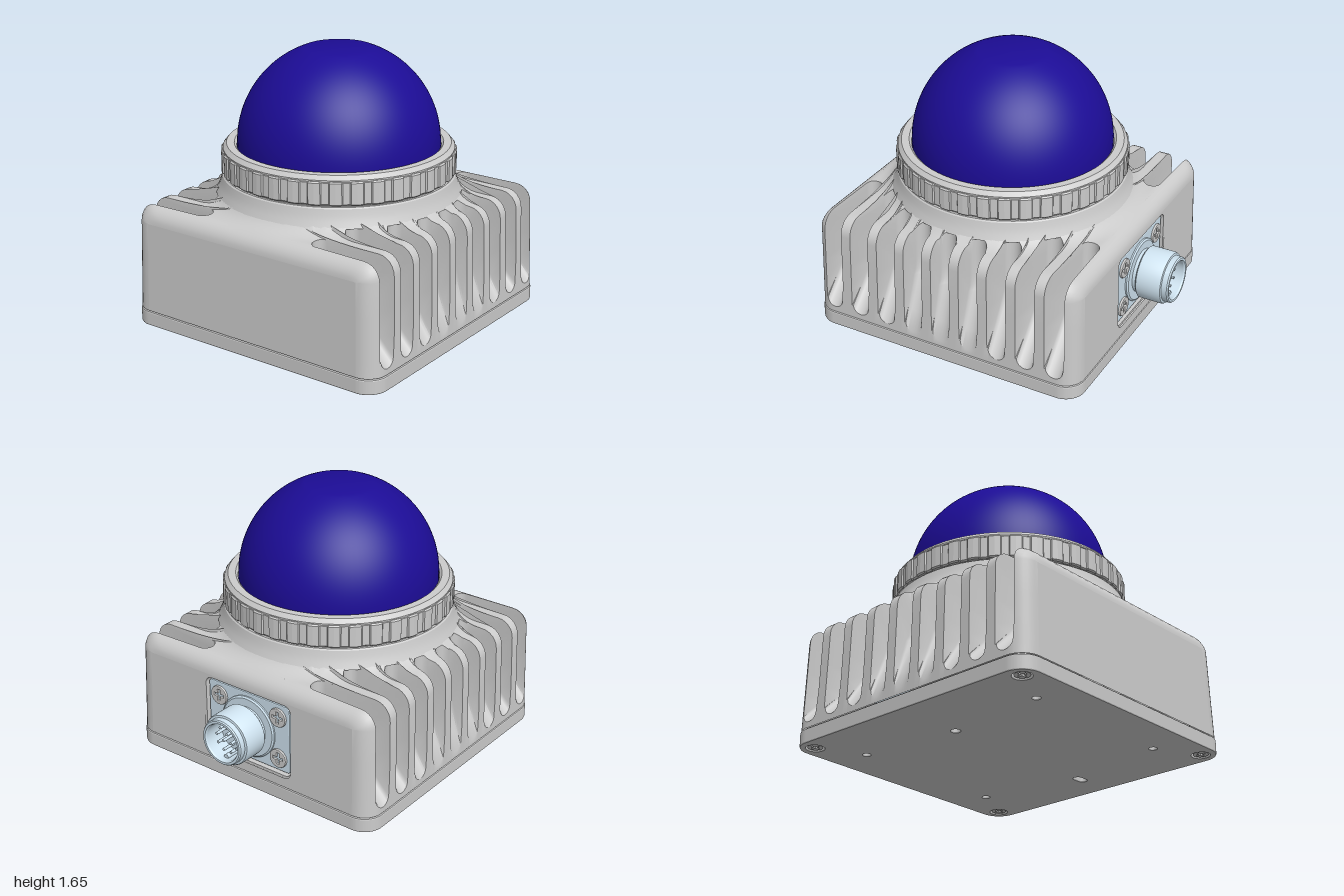
import * as THREE from 'three';
import { toCreasedNormals } from 'three/addons/utils/BufferGeometryUtils.js';

const CX = -0.11;                       // axis of dome and housing
const HALF = 0.885, CORNER = 0.12;      // housing half width, vertical corner radius
const BASE = 0.645, SHOULDER = 0.105;   // start of the rounded shoulder, its radius
const Y0 = 0.095, TOPS = 26;

const mat = (color) => new THREE.MeshStandardMaterial({ color, side: THREE.DoubleSide });
const grey = mat(0xcccccc), blue = mat(0x1c0c96), steel = mat(0xcfe3f0);

function add(parent, name, geo, material, x = 0, y = 0, z = 0) {
  const m = new THREE.Mesh(geo, material);
  m.name = name;
  m.position.set(x, y, z);
  parent.add(m);
  return m;
}

const lathe = (pts, seg = 96) =>
  toCreasedNormals(new THREE.LatheGeometry(pts.map((p) => new THREE.Vector2(...p)), seg), 0.5);

function roundRect(w, h, r, cy = 0, Type = THREE.Shape) {
  const s = new Type();
  [[w - r, h - r, 0], [r - w, h - r, 1], [r - w, r - h, 2], [w - r, r - h, 3]].forEach(([x, y, q]) =>
    s.absarc(x, y + cy, r, q * Math.PI / 2, (q + 1) * Math.PI / 2, false));
  return s;
}
const circle = (x, y, r, Type = THREE.Path) => new Type().absarc(x, y, r, 0, Math.PI * 2, false);
const extrude = (shape, depth, bevel = 0) => new THREE.ExtrudeGeometry(shape, {
  depth: depth - 2 * bevel, bevelEnabled: bevel > 0, bevelSize: bevel, bevelThickness: bevel,
  bevelOffset: -bevel, bevelSegments: 2, curveSegments: 12,
}).translate(0, 0, bevel);

// Disc head with a cross recess, facing +z
function screwGeo(r, depth) {
  const s = circle(0, 0, r, THREE.Shape), a = r * 0.14, b = r * 0.6;
  s.holes.push(new THREE.Path([[a, a], [a, b], [-a, b], [-a, a], [-b, a], [-b, -a], [-a, -a], [-a, -b],
    [a, -b], [a, -a], [b, -a], [b, a]].map((p) => new THREE.Vector2(...p))));
  return extrude(s, depth, r * 0.1);
}

// ---- finned housing: yz profiles placed in columns along x ----
const draft = (y) => 1 - 0.015 * Math.min(1, Math.max(0, (y - Y0) / (BASE - Y0)));
const drop = (u, r) => {                // quarter-round falloff towards the side faces
  const d = Math.max(0, Math.abs(u) - (HALF - r));
  return r - Math.sqrt(Math.max(0, r * r - d * d));
};
const halfZ = (u) => HALF - drop(u, CORNER);
function topY(u, z) {                   // top deck plus the fillet up to the neck
  const F = 0.15, d = Math.min(F, Math.max(0.02, Math.hypot(u, z) - 0.70));
  return BASE + SHOULDER - drop(u, SHOULDER) + F - Math.sqrt(F * F - (F - d) ** 2);
}
function deck(u, zStart) {
  const p = [];
  for (let i = 1; i <= TOPS; i++) {
    const z = zStart * (1 - i / TOPS);
    p.push([z, topY(u, z)]);
  }
  return p;
}
function finProfile(u) {
  const hw = halfZ(u), zi = hw - SHOULDER, h = topY(u, zi) - BASE;
  const p = [Y0, 0.18, 0.3, 0.45, BASE].map((y) => [hw, y]);
  for (let k = 1; k <= 6; k++) {
    const a = k * Math.PI / 12;
    p.push([zi + SHOULDER * Math.cos(a), BASE + h * Math.sin(a)]);
  }
  return p.concat(deck(u, zi));
}
function slotProfile(u, centre, t) {
  const e = 0.05 * (1 - Math.sqrt(1 - t * t)), hw = halfZ(u);
  const end = Math.max(0.38, Math.sqrt(0.735 ** 2 - Math.min(centre ** 2, 0.5))) + e;
  const zf = Math.max(end + 0.03, 0.57 + e), y0 = 0.13 + e;
  const p = [[hw, Y0], [hw, y0]];
  for (const k of [0.35, 0.7, 1]) p.push([hw + (zf - hw) * k, y0 + (0.45 - y0) * k]);
  p.push([end + 0.025, 0.46], [end + 0.008, 0.49], [end, 0.56], [end, 0.64], [end, 0.7], [end, topY(u, end)]);
  return p.concat(deck(u, end));
}
function housingGeo() {
  const cols = [], corner = [];
  for (let k = 0; k <= 6; k++) {
    const a0 = 0.45, a = a0 + (Math.PI / 2 - a0) * k / 6;
    corner.push(HALF - CORNER + CORNER * Math.sin(a));
  }
  const fin = (u) => cols.push([u, finProfile(u)]);
  [...corner].reverse().forEach((u) => fin(-u));
  for (let i = -4; i <= 4; i++) {
    const c = i * 0.1875;
    fin(c - 0.062);
    for (const t of [-1, -0.92, -0.7, -0.35, 0, 0.35, 0.7, 0.92, 1]) {
      const u = c + t * 0.054;
      cols.push([u, slotProfile(u, c, t)]);
    }
    fin(c + 0.062);
    if (i < 4) fin(c + 0.09375);
  }
  corner.forEach(fin);

  const pos = [], idx = [];
  let n = 0;
  for (const [u, half] of cols) {
    const full = half.concat(half.slice(0, -1).reverse().map(([z, y]) => [-z, y]));
    n = full.length;
    for (const [z, y] of full) pos.push(CX + u * draft(y), y, z * draft(y));
  }
  for (let c = 0; c < cols.length - 1; c++) for (let i = 0; i < n - 1; i++) {
    const a = c * n + i, b = a + n;
    idx.push(a, b, b + 1, a, b + 1, a + 1);
  }
  const g = new THREE.BufferGeometry();
  g.setAttribute('position', new THREE.Float32BufferAttribute(pos, 3));
  g.setIndex(idx);
  return toCreasedNormals(g, 0.6);
}
// Flat side wall; the connector side has an opening
function sideWall(side) {
  const w = HALF - CORNER, s = new THREE.Shape([[-w, Y0], [w, Y0], [w, BASE], [-w, BASE]]
    .map((p) => new THREE.Vector2(...p)));
  if (side > 0) s.holes.push(roundRect(0.325, 0.24, 0.05, 0.395, THREE.Path));
  const g = new THREE.ShapeGeometry(s).rotateY(side * Math.PI / 2), p = g.attributes.position;
  for (let i = 0; i < p.count; i++) {
    const d = draft(p.getY(i));
    p.setXYZ(i, CX + side * HALF * d, p.getY(i), p.getZ(i) * d);
  }
  g.computeVertexNormals();
  return g;
}

function buildConnector() {
  const g = new THREE.Group();
  g.name = 'connector';
  const toX = (geo) => geo.rotateY(Math.PI / 2);
  // recess lining, mounting plate and its screws
  const lining = roundRect(0.335, 0.25, 0.055, 0.395);
  lining.holes.push(roundRect(0.318, 0.233, 0.045, 0.395, THREE.Path));
  add(g, 'recessLining', toX(extrude(lining, 0.06)), grey, 0.701);
  add(g, 'mountingPlate', toX(extrude(roundRect(0.302, 0.218, 0.02, 0.395), 0.05, 0.006)), steel, 0.701);
  add(g, 'recessFloor', toX(new THREE.PlaneGeometry(0.66, 0.49)), grey, 0.715, 0.395);
  for (const z of [-0.22, 0.22]) for (const y of [0.26, 0.53])
    add(g, 'plateScrew', toX(screwGeo(0.06, 0.022)), grey, 0.743, y, z);
  // hollow threaded shell
  const shell = lathe([[0.195, 0.74], [0.195, 0.76], [0.185, 0.768], [0.135, 0.768], [0.135, 0.795], [0.152, 0.795],
    [0.16, 0.803], [0.16, 0.945], [0.155, 0.955], [0.142, 0.958], [0.142, 0.992], [0.136, 1.0], [0.122, 1.0],
    [0.116, 0.99], [0.116, 0.86], [0, 0.86]], 64).rotateZ(-Math.PI / 2);
  add(g, 'connectorShell', shell, steel, 0, 0.395);
  add(g, 'keyway', new THREE.CylinderGeometry(0.016, 0.016, 0.1, 12).rotateZ(Math.PI / 2), steel, 0.91, 0.286);
  const pin = new THREE.CylinderGeometry(0.009, 0.009, 0.1, 10).rotateZ(Math.PI / 2);
  for (const [count, r] of [[9, 0.08], [3, 0.033]]) for (let i = 0; i < count; i++) {
    const a = Math.PI / 2 + i * 2 * Math.PI / count;
    add(g, 'pin', pin, steel, 0.9, 0.395 + r * Math.sin(a), r * Math.cos(a));
  }
  return g;
}

function buildBasePlate() {
  const g = new THREE.Group();
  g.name = 'basePlate';
  // outline in x and z, with mounting holes, a slot and counterbores
  const s = roundRect(0.89, 0.89, 0.125), skin = 0.05;
  for (const x of [-0.65, 0.65]) for (const z of [-0.515, 0.515]) s.holes.push(circle(x, z, 0.024));
  s.holes.push(circle(0, -0.45, 0.028), roundRect(0.026, 0.05, 0.0255, 0.65, THREE.Path));
  for (const x of [-0.79, 0.79]) for (const z of [-0.79, 0.79]) s.holes.push(circle(x, z, 0.055));
  add(g, 'baseCover', extrude(s, 0.09, 0.008).rotateX(Math.PI / 2), grey, CX, 0.09, 0);
  add(g, 'gasket', extrude(roundRect(0.872, 0.872, 0.115), skin).rotateX(Math.PI / 2), grey, CX, 0.1, 0);
  for (const x of [-0.79, 0.79]) for (const z of [-0.79, 0.79])
    add(g, 'baseScrew', screwGeo(0.046, 0.05).rotateX(Math.PI / 2), grey, CX + x, 0.056, z);
  return g;
}

// Clamp ring with evenly spaced grip notches
function ringGeo() {
  const pts = [], count = 36, step = 2 * Math.PI / count;
  for (let i = 0; i < count; i++)
    for (const [k, r] of [[0.17, 0.691], [0.22, 0.70], [0.5, 0.702], [0.78, 0.70], [0.83, 0.691], [1, 0.691]]) {
      const a = (i + k) * step;
      pts.push(new THREE.Vector2(r * Math.cos(a), r * Math.sin(a)));
    }
  const s = new THREE.Shape(pts);
  s.holes.push(new THREE.Path().absarc(0, 0, 0.625, 0, Math.PI * 2, false));
  return new THREE.ExtrudeGeometry(s, { depth: 0.125, bevelSize: 0.008, bevelOffset: -0.008,
    bevelThickness: 0.008, bevelSegments: 1, curveSegments: 48 }).rotateX(-Math.PI / 2);
}

export function createModel() {
  const model = new THREE.Group();
  model.name = 'domeSensor';

  const housing = new THREE.Group();
  housing.name = 'housing';
  model.add(housing);
  add(housing, 'finnedBody', housingGeo(), grey);
  add(housing, 'rightWall', sideWall(1), grey);
  add(housing, 'leftWall', sideWall(-1), grey);
  add(housing, 'neck', lathe([[0.735, 0.79], [0.718, 0.825], [0.706, 0.86], [0.698, 0.895], [0.69, 0.903],
    [0.675, 0.903], [0.675, 0.93]]), grey, CX);

  add(model, 'clampRing', ringGeo(), grey, CX, 0.92);
  add(model, 'ringLip', lathe([[0.69, 1.05], [0.69, 1.06], [0.668, 1.085], [0.622, 1.085], [0.608, 1.07],
    [0.608, 1.0]]), grey, CX);

  // dome with a flat top
  const R = 0.605, cy = 1.08, flat = 0.205, end = Math.acos(flat / R), dome = [[R, 0.95]];
  for (let i = 0; i <= 28; i++) dome.push([R * Math.cos(end * i / 28), cy + R * Math.sin(end * i / 28)]);
  dome.push([0, cy + R * Math.sin(end)]);
  add(model, 'dome', lathe(dome), blue, CX);

  model.add(buildConnector(), buildBasePlate());
  return model;
}
